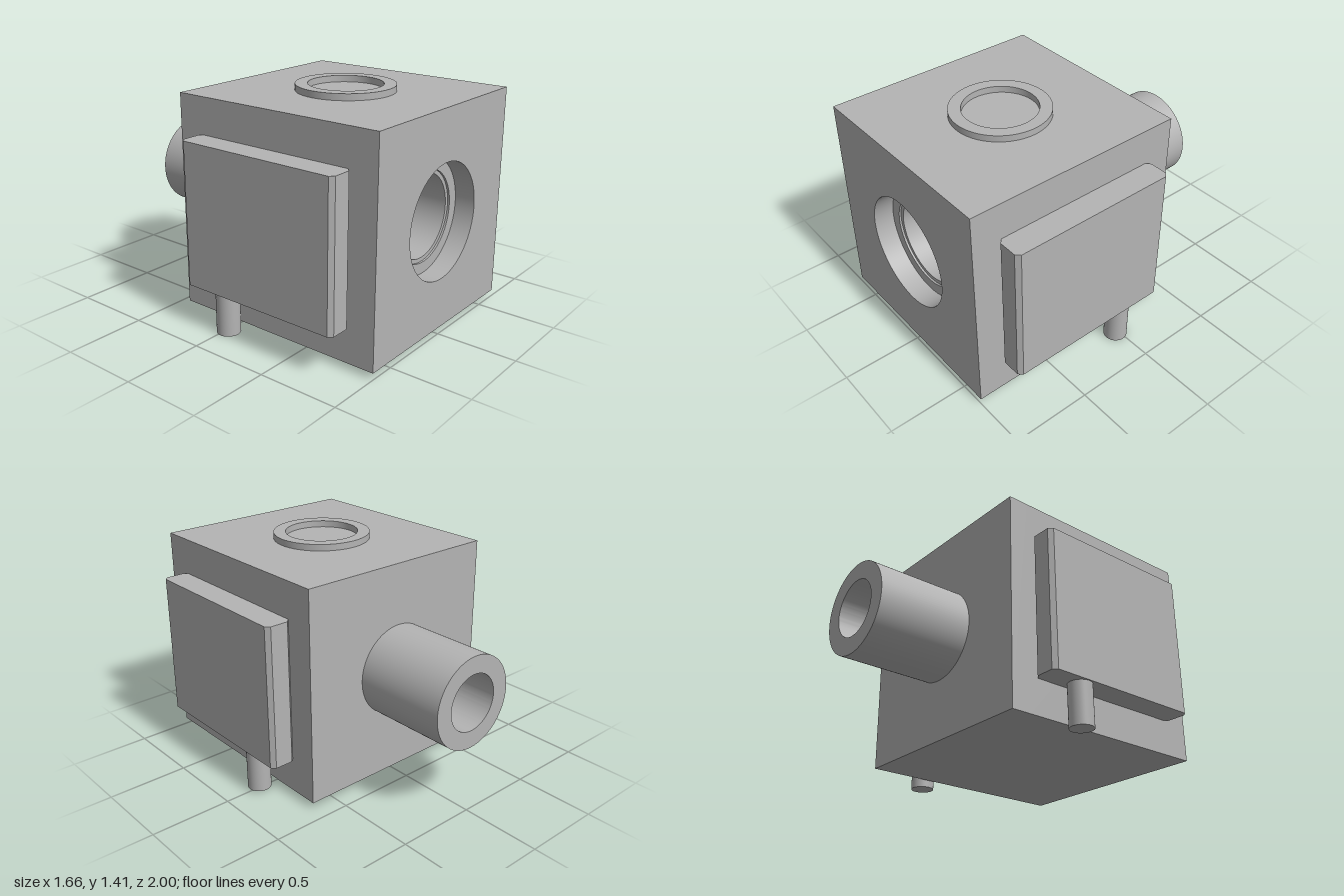
import * as THREE from 'three';
import { toCreasedNormals } from 'three/addons/utils/BufferGeometryUtils.js';

export function createModel() {
  const group = new THREE.Group();
  const metal = new THREE.MeshStandardMaterial({ color: 0xb4b4b4 });
  metal.name = 'grey metal';
  const axisY = 0.705;

  const add = (name, geometry, x = 0, y = 0, z = 0) => {
    const mesh = new THREE.Mesh(geometry, metal);
    mesh.name = name;
    mesh.position.set(x, y, z);
    group.add(mesh);
    return mesh;
  };
  const extrude = (shape, depth) => toCreasedNormals(
    new THREE.ExtrudeGeometry(shape, { depth, bevelEnabled: false, curveSegments: 64 }), 0.5);
  const polygon = (points) => new THREE.Shape(points.map(([x, y]) => new THREE.Vector2(x, y)));
  const drill = (shape, radius) => {
    shape.holes.push(new THREE.Path().absarc(0, 0, radius, 0, Math.PI * 2, true));
    return shape;
  };
  const square = () => polygon([[-0.667, -0.665], [0.667, -0.665], [0.667, 0.665], [-0.667, 0.665]]);
  const ring = (outer, inner) =>
    drill(new THREE.Shape().absarc(0, 0, outer, 0, Math.PI * 2, false), inner);

  // Housing: three stacked blocks with a stepped bore, [name, bore, back z, front z]
  for (const [name, bore, back, front] of [
    ['frontPlate', 0.35, 0.873, 1],
    ['boreStep', 0.28, 0.86, 0.873],
    ['housing', 0.255, -0.27, 0.86],
    ['backPlate', 0.175, -0.4, -0.27],
  ]) add(name, extrude(drill(square(), bore), front - back), 0, axisY, back);

  // Outlet pipe at the back
  add('outletPipe', extrude(ring(0.285, 0.175), 0.6), 0, axisY, -1);

  // Raised collar on the top
  add('topCollar', extrude(ring(0.3, 0.225), 0.04), 0, 1.37, 0.3).rotation.x = -Math.PI / 2;

  // Side pads with chamfered upright edges, each with a peg below
  const w = 0.0815, d = 0.54, c = 0.025;
  const padShape = polygon([
    [-w + c, -d], [w - c, -d], [w, -d + c], [w, d - c],
    [w - c, d], [-w + c, d], [-w, d - c], [-w, -d + c],
  ]);
  for (const [side, s] of [['left', 1], ['right', -1]]) {
    add(side + 'Pad', extrude(padShape, 0.885), s * 0.7485, 0.26, 0.3).rotation.x = -Math.PI / 2;
    add(side + 'Peg', new THREE.CylinderGeometry(0.072, 0.072, 0.26, 40), s * 0.75, 0.13, 0.02);
  }
  return group;
}
